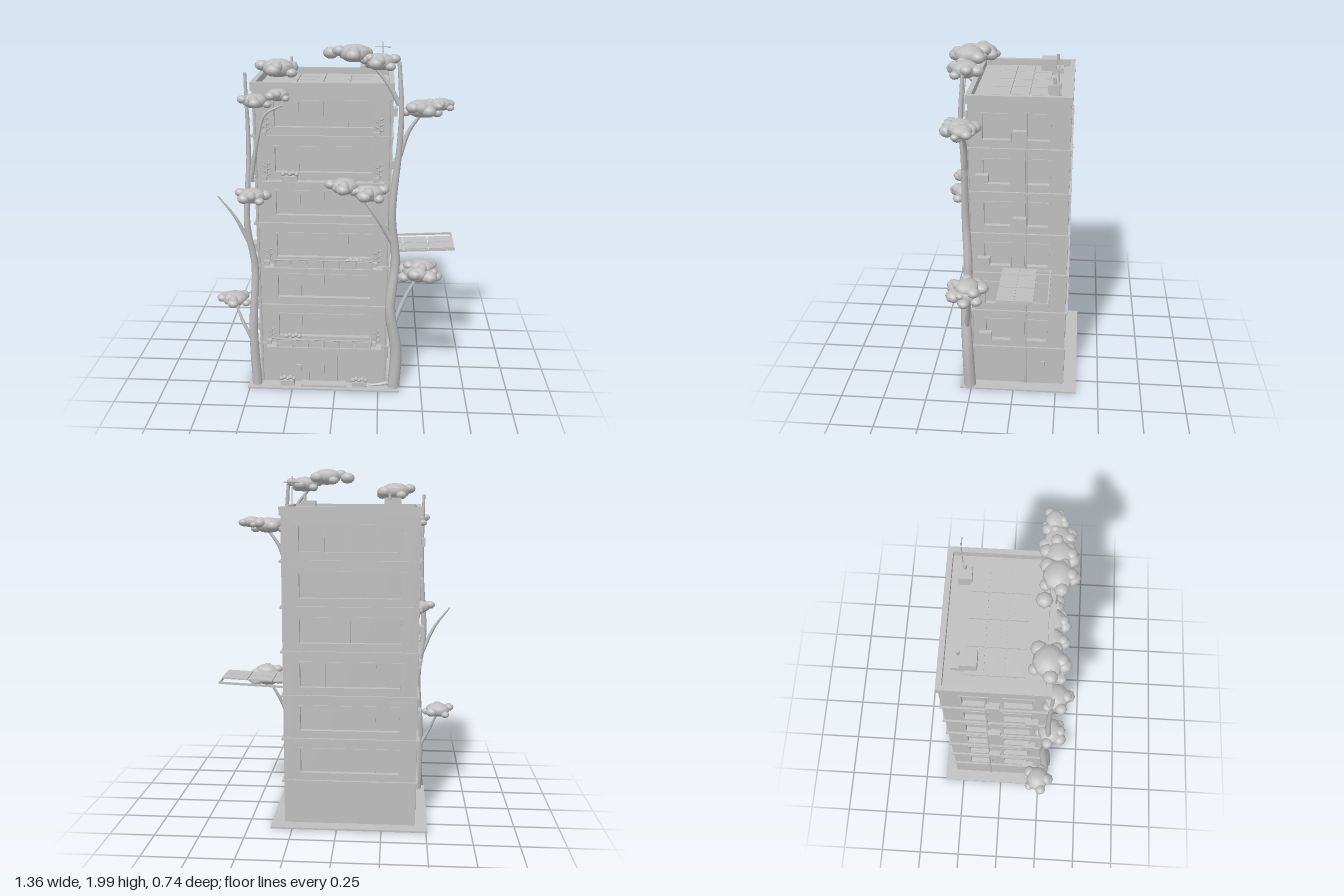
import * as THREE from 'three';

const grey = new THREE.MeshStandardMaterial({ color: 0xbfbfbf });
grey.name = 'plain grey';

const CX = -0.07, CZ = -0.03, W = 0.74, D = 0.53;   // building centre and plan size
const FLOORS = [0.26, 0.507, 0.755, 1.003, 1.25, 1.498];
const ROOF = 1.745;

function add(parent, name, geo, x = 0, y = 0, z = 0) {
  const m = new THREE.Mesh(geo, grey);
  m.name = name;
  m.position.set(x, y, z);
  parent.add(m);
  return m;
}
const box = (p, name, w, h, d, x, y, z) => add(p, name, new THREE.BoxGeometry(w, h, d), x, y, z);

function group(parent, name) {
  const g = new THREE.Group();
  g.name = name;
  parent.add(g);
  return g;
}

// thin rod between two points
function rod(p, name, a, b, r) {
  const curve = new THREE.LineCurve3(new THREE.Vector3(...a), new THREE.Vector3(...b));
  return add(p, name, new THREE.TubeGeometry(curve, 1, r, 6));
}

// curved limb that narrows from r0 to r1
function limb(p, name, pts, r0, r1) {
  const curve = new THREE.CatmullRomCurve3(pts.map(q => new THREE.Vector3(...q)));
  const seg = pts.length * 4, n = 8;
  const geo = new THREE.TubeGeometry(curve, seg, 1, n);
  const pos = geo.attributes.position, c = new THREE.Vector3(), v = new THREE.Vector3();
  for (let i = 0; i < pos.count; i++) {
    const t = Math.floor(i / (n + 1)) / seg;
    curve.getPointAt(t, c);
    v.fromBufferAttribute(pos, i).sub(c).multiplyScalar(r0 + (r1 - r0) * t).add(c);
    pos.setXYZ(i, v.x, v.y, v.z);
  }
  return add(p, name, geo);
}

// one facade: wall plate with openings, frames and mullions, local z = outer face
function facade(parent, name, width, openings, mullions) {
  const g = group(parent, name);
  const s = new THREE.Shape([[-1, 0.01], [1, 0.01], [1, ROOF], [-1, ROOF]]
    .map(([x, y]) => new THREE.Vector2(x * width / 2, y)));
  for (const f of FLOORS) for (const [cx, w] of openings) {
    const a = cx - w / 2, b = cx + w / 2, lo = f + 0.047, hi = f + 0.192;
    s.holes.push(new THREE.Path([[a, lo], [a, hi], [b, hi], [b, lo]].map(q => new THREE.Vector2(...q))));
    const t = 0.009, h = hi - lo, y = (lo + hi) / 2;
    for (const e of [a, b]) box(g, 'windowFrame', t, h + t, 0.03, e, y, -0.01);
    for (const e of [lo, hi]) box(g, 'windowFrame', w + t, t, 0.03, cx, e, -0.01);
    for (let i = 1; i <= mullions; i++) box(g, 'mullion', 0.006, h, 0.008, a + w * i / (mullions + 1), y, -0.018);
  }
  add(g, 'wall', new THREE.ExtrudeGeometry(s, { depth: 0.02, bevelEnabled: false }), 0, 0, -0.02);
  return g;
}

// trough with round shrubs
function planter(p, x, y, z) {
  const g = group(p, 'planter');
  g.position.set(x, y, z);
  box(g, 'trough', 0.08, 0.03, 0.035, 0, 0.015, 0);
  for (let i = -2; i <= 2; i++) {
    add(g, 'shrub', new THREE.SphereGeometry(0.015, 7, 5), i * 0.018, 0.04 + (i % 2 ? 0.008 : 0), 0).scale.y = 0.8;
  }
}

// small climbing plant on the wall
function climber(p, x, y, z) {
  const g = group(p, 'climber');
  g.position.set(x, y, z);
  rod(g, 'stem', [0, 0, 0], [0.005, 0.09, 0], 0.003);
  for (let i = 0; i < 6; i++) {
    const leaf = add(g, 'leaf', new THREE.SphereGeometry(0.012, 5, 4), (i % 2 ? 1 : -1) * 0.012, 0.012 + i * 0.015, 0.004);
    leaf.scale.set(1, 0.45, 0.5);
    leaf.rotation.z = i % 2 ? 0.6 : -0.6;
  }
}

// crown: flattened main blob ringed by smaller ones
function crown(p, x, y, z, r, n, turn) {
  const g = group(p, 'crown');
  g.position.set(x, y, z);
  add(g, 'foliage', new THREE.SphereGeometry(r, 9, 6)).scale.set(1, 0.55, 0.9);
  add(g, 'foliage', new THREE.SphereGeometry(r * 0.42, 7, 5), 0, r * 0.15, r * 0.68).scale.y = 0.85;
  for (let i = 0; i < n; i++) {
    const a = turn + i * Math.PI * 2 / n, s = r * (0.36 + 0.12 * ((i * 2) % 3) / 2);
    add(g, 'foliage', new THREE.SphereGeometry(s, 8, 6), Math.cos(a) * r * 0.95,
      (i % 3 - 1.2) * r * 0.2, Math.sin(a) * r * 0.8).scale.y = 0.75;
  }
}

function buildTower(model) {
  const g = group(model, 'tower');
  g.position.set(CX, 0, CZ);
  box(g, 'glazing', W - 0.044, ROOF - 0.02, D - 0.044, 0, ROOF / 2, 0);
  const sides = [[0.12, 0.15], [-0.095, 0.135]];
  facade(g, 'frontWall', W, [[0.005, 0.53]], 3).position.z = D / 2;
  const back = facade(g, 'backWall', W, [[0, 0.56]], 3);
  back.position.z = -D / 2;
  back.rotation.y = Math.PI;
  for (const s of [1, -1]) {
    const side = facade(g, 'sideWall', D, sides.map(([z, w]) => [-s * z, w]), 0);
    side.position.x = s * W / 2;
    side.rotation.y = s * Math.PI / 2;
    FLOORS.forEach((f, i) => {
      box(g, 'airConditioner', 0.035, 0.045, 0.07, s * (W / 2 + 0.015), f + 0.087, i % 2 ? -0.005 : 0.195);
    });
    rod(g, 'drainPipe', [s * (W / 2 + 0.006), 0.01, -0.04], [s * (W / 2 + 0.006), 1.7, -0.04], 0.005);
    rod(g, 'cornerPipe', [s * (W / 2 - 0.012), 0.01, D / 2 + 0.006], [s * (W / 2 - 0.012), 1.7, D / 2 + 0.006], 0.005);
  }
  for (const f of FLOORS) box(g, 'floorBand', W + 0.022, 0.013, D + 0.022, 0, f, 0);
  box(g, 'meterBox', 0.012, 0.04, 0.02, W / 2 + 0.004, 0.15, -0.14);

  // roof deck and parapet
  box(g, 'roofDeck', W, 0.012, D, 0, ROOF - 0.004, 0);
  for (const s of [1, -1]) {
    box(g, 'parapet', W + 0.018, 0.045, 0.028, 0, 1.764, s * (D / 2 - 0.005));
    box(g, 'parapet', 0.028, 0.045, D - 0.036, s * (W / 2 - 0.005), 1.764, 0);
  }
}

function buildRoof(model) {
  const g = group(model, 'roofEquipment');
  for (let i = 0; i < 4; i++) for (let j = 0; j < 3; j++) {
    box(g, 'solarPanel', 0.139, 0.008, 0.094, -0.287 + i * 0.145, 1.764, -0.13 + j * 0.101);
  }
  for (const z of [-0.13, -0.03, 0.07]) box(g, 'panelRail', 0.57, 0.014, 0.01, -0.07, 1.754, z);
  box(g, 'ventBox', 0.09, 0.085, 0.085, -0.292, 1.79, -0.157);
  rod(g, 'flue', [-0.275, 1.82, -0.207], [-0.275, 1.86, -0.207], 0.009);
  box(g, 'ventBoxTop', 0.075, 0.03, 0.05, -0.295, 1.765, -0.215);
  box(g, 'ventBox', 0.078, 0.07, 0.068, 0.158, 1.78, -0.205);
  rod(g, 'flue', [0.178, 1.81, -0.207], [0.178, 1.85, -0.207], 0.009);
  rod(g, 'antennaMast', [0.245, 1.745, -0.228], [0.245, 1.945, -0.228], 0.003);
  rod(g, 'antennaBar', [0.2, 1.915, -0.228], [0.29, 1.915, -0.228], 0.003);
}

function buildFront(model) {
  const g = group(model, 'frontDetails'), z = CZ + D / 2;
  // entrance
  for (const x of [-0.113, -0.027]) box(g, 'door', 0.08, 0.18, 0.012, x, 0.1, z + 0.004);
  for (const x of [-0.16, -0.07, 0.02]) box(g, 'doorPost', 0.008, 0.185, 0.02, x, 0.102, z + 0.004);
  box(g, 'doorHead', 0.188, 0.008, 0.02, -0.07, 0.194, z + 0.004);
  box(g, 'canopy', 0.31, 0.045, 0.04, -0.07, 0.23, z + 0.02);
  box(g, 'doorStep', 0.26, 0.012, 0.06, -0.07, 0.016, z + 0.03);
  box(g, 'intercom', 0.03, 0.04, 0.015, -0.215, 0.105, z + 0.006);
  for (const x of [-0.28, 0.14]) planter(g, x, 0.012, 0.275);
  limb(g, 'root', [[0.33, 0.03, 0.25], [0.27, 0.025, 0.265], [0.17, 0.012, 0.27]], 0.014, 0.004);

  // balconies with panelled railings, and the upper ledge
  for (const i of [0, 2]) {
    const f = FLOORS[i], b = group(g, 'balcony'), w = 0.54, zf = z + 0.055;
    box(b, 'slab', 0.66, 0.014, 0.065, -0.065, f, z + 0.03);
    rod(b, 'handrail', [-0.335, f + 0.055, zf], [0.205, f + 0.055, zf], 0.004);
    for (let k = 0; k <= 6; k++) {
      rod(b, 'railPost', [-0.335 + k * w / 6, f, zf], [-0.335 + k * w / 6, f + 0.055, zf], 0.004);
      if (k < 6) box(b, 'railPanel', w / 6 - 0.012, 0.04, 0.005, -0.335 + (k + 0.5) * w / 6, f + 0.029, zf);
    }
    for (const x of [-0.335, 0.205]) rod(b, 'handrail', [x, f + 0.055, zf], [x, f + 0.055, z], 0.004);
  }
  box(g, 'ledge', 0.66, 0.012, 0.045, -0.065, FLOORS[4], z + 0.02);
  planter(g, -0.245, FLOORS[0] + 0.025, z + 0.03);
  planter(g, 0.105, FLOORS[2] + 0.007, z + 0.035);
  planter(g, -0.245, FLOORS[4] + 0.007, z + 0.025);
  for (const i of [0, 2, 4, 5]) for (const x of [-0.37, 0.235]) {
    climber(g, x, FLOORS[i] + 0.015, z + 0.012);
    box(g, 'climberPot', 0.03, 0.025, 0.025, x - 0.015, FLOORS[i] + 0.018, z + 0.014);
  }
}

// framed panel canopy on the +x wall, tilted slightly upwards
function buildSideCanopy(model) {
  const g = group(model, 'sideCanopy');
  g.position.set(0.3, 0.782, 0);
  g.rotation.z = 0.05;
  for (const z of [-0.207, -0.035, 0.058]) box(g, 'beam', 0.38, 0.012, 0.008, 0.19, 0, z);
  for (const x of [0.004, 0.376]) box(g, 'beam', 0.008, 0.012, 0.265, x, 0, -0.074);
  for (const [x, w] of [[0.043, 0.08], [0.157, 0.14], [0.305, 0.145]]) {
    for (const z of [-0.085, 0.013]) box(g, 'solarPanel', w, 0.008, 0.092, x, 0.008, z);
  }
}

function buildTrees(model) {
  const left = group(model, 'leftTree'), right = group(model, 'rightTree');
  limb(left, 'trunk', [[-0.46, 0.01, 0.265], [-0.47, 0.38, 0.275], [-0.452, 0.75, 0.25], [-0.485, 1.0, 0.265],
    [-0.465, 1.4, 0.25], [-0.47, 1.84, 0.25]], 0.029, 0.008);
  limb(left, 'branch', [[-0.48, 0.9, 0.26], [-0.55, 1.05, 0.27], [-0.64, 1.17, 0.27]], 0.014, 0.004);
  limb(left, 'branch', [[-0.47, 0.28, 0.27], [-0.53, 0.4, 0.26], [-0.58, 0.52, 0.23]], 0.014, 0.006);
  limb(left, 'branch', [[-0.46, 1.25, 0.25], [-0.41, 1.5, 0.26], [-0.37, 1.62, 0.26], [-0.28, 1.67, 0.26]], 0.015, 0.005);
  crown(left, -0.58, 0.54, 0.23, 0.075, 5, 0.3);
  crown(left, -0.45, 1.175, 0.27, 0.075, 5, 0.9);
  crown(left, -0.42, 1.695, 0.27, 0.07, 5, 0.2);
  crown(left, -0.3, 1.725, 0.25, 0.06, 4, 0.7);
  crown(left, -0.3, 1.86, 0.22, 0.088, 5, 0.5);

  limb(right, 'trunk', [[0.34, 0.01, 0.26], [0.35, 0.25, 0.265], [0.31, 0.52, 0.275], [0.335, 0.8, 0.25],
    [0.31, 1.07, 0.26], [0.34, 1.44, 0.255], [0.347, 1.65, 0.265], [0.33, 1.9, 0.25]], 0.036, 0.01);
  limb(right, 'branch', [[0.315, 0.92, 0.26], [0.22, 1.08, 0.28], [0.12, 1.21, 0.27]], 0.018, 0.007);
  limb(right, 'branch', [[0.33, 0.41, 0.27], [0.39, 0.57, 0.25], [0.46, 0.7, 0.23]], 0.016, 0.007);
  limb(right, 'branch', [[0.34, 1.4, 0.25], [0.39, 1.54, 0.24], [0.46, 1.64, 0.24]], 0.016, 0.007);
  limb(right, 'branch', [[0.335, 1.68, 0.26], [0.28, 1.78, 0.26], [0.18, 1.9, 0.25]], 0.014, 0.006);
  crown(right, 0.1, 1.942, 0.245, 0.085, 5, 0.4);
  crown(right, 0.23, 1.9, 0.25, 0.08, 6, 0.8);
  add(right, 'foliage', new THREE.SphereGeometry(0.042, 8, 6), -0.025, 1.935, 0.185).scale.y = 0.75;
  crown(right, 0.45, 1.66, 0.25, 0.085, 6, 0.1);
  crown(right, 0.55, 1.68, 0.23, 0.06, 5, 0.6);
  crown(right, 0.05, 1.235, 0.26, 0.08, 5, 0.4);
  crown(right, 0.18, 1.2, 0.26, 0.085, 6, 0.8);
  crown(right, 0.47, 0.735, 0.24, 0.098, 7, 0.1);
  crown(right, 0.48, 0.765, 0.24, 0.075, 5, 0.5);
}

export function createModel() {
  const model = new THREE.Group();
  model.name = 'apartmentTower';
  box(model, 'groundSlab', 0.883, 0.01, 0.685, -0.068, 0.005, -0.027);
  buildTower(model);
  buildRoof(model);
  buildFront(model);
  buildSideCanopy(model);
  buildTrees(model);
  return model;
}
